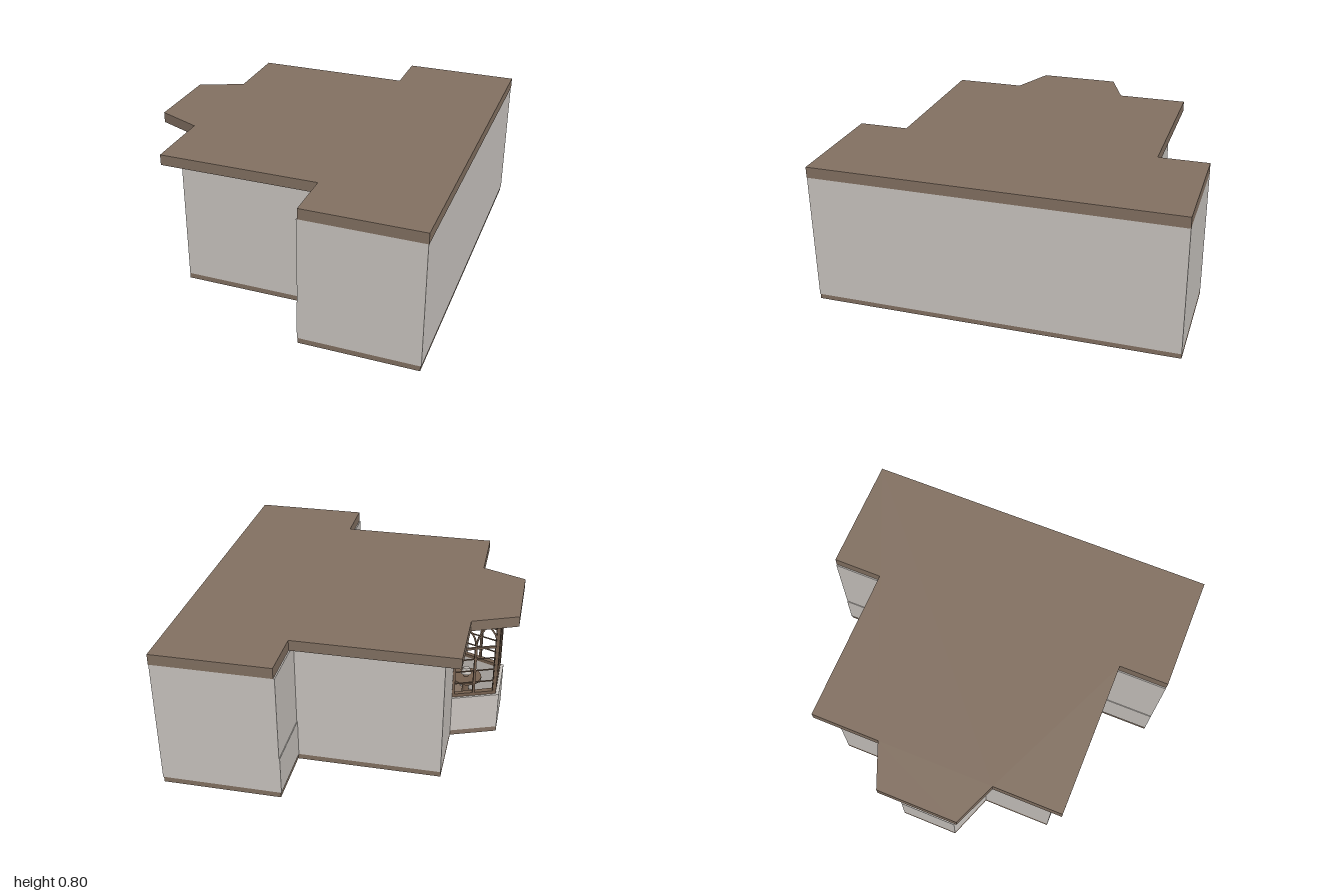
import * as THREE from 'three';

const mat = (name, color) => {
  const m = new THREE.MeshStandardMaterial({ color });
  m.name = name;
  return m;
};

export function createModel() {
  const model = new THREE.Group();
  model.name = 'house';
  const roofBrown = mat('roof brown', 0x837162);
  const plaster = mat('warm plaster', 0xcac5c0);
  const timber = mat('window timber', 0x75604f);
  const shade = mat('lamp shade', 0xbdb8b2);

  const add = (parent, name, geo, material, x = 0, y = 0, z = 0) => {
    const mesh = new THREE.Mesh(geo, material);
    mesh.name = name;
    mesh.position.set(x, y, z);
    parent.add(mesh);
    return mesh;
  };
  const box = (parent, name, material, w, h, d, x, y, z) =>
    add(parent, name, new THREE.BoxGeometry(w, h, d), material, x, y, z);

  // Plans are mirrored about z = 0: give the half with z > 0, in order
  const mirrored = half => [...half, ...half.map(([x, z]) => [x, -z]).reverse()];
  const slab = (name, points, y0, y1, material) => {
    const shape = new THREE.Shape(points.map(([x, z]) => new THREE.Vector2(x, z)));
    const geo = new THREE.ExtrudeGeometry(shape, { depth: y1 - y0, bevelEnabled: false });
    geo.rotateX(-Math.PI / 2);
    return add(model, name, geo, material, 0, y0, 0);
  };

  // Floor and roof slabs
  slab('floor', mirrored([[0.885, 1], [0.235, 1], [0.235, 0.655], [-0.56, 0.655],
    [-0.56, 0.26], [-0.815, 0.165]]), 0, 0.03, roofBrown);
  slab('roof', mirrored([[0.892, 1], [0.242, 1], [0.242, 0.722], [-0.648, 0.722],
    [-0.648, 0.33], [-0.896, 0.227]]), 0.735, 0.795, roofBrown);

  // Main walls, a hollow plan open towards the bay
  const outer = mirrored([[-0.56, 0.26], [-0.56, 0.655], [0.235, 0.655], [0.235, 1], [0.89, 1]]);
  const inner = mirrored([[-0.54, 0.26], [-0.54, 0.635], [0.255, 0.635], [0.255, 0.98], [0.87, 0.98]]);
  slab('walls', [...outer, ...inner.reverse()], 0.03, 0.735, plaster);

  // Shallow plinth on the returns beside the wing
  for (const s of [-1, 1])
    box(model, 'returnPlinth', plaster, 0.005, 0.22, 0.345, 0.2335, 0.14, s * 0.8275);

  // Bay: low wall, header and sill, each an open band
  const band = (name, half, t, y0, y1, material) => {
    const out = mirrored(half);
    const inn = mirrored(half.map(([x, z], i) => [i ? x + t : x, z - t])).reverse();
    slab(name, [...out, ...inn], y0, y1, material);
  };
  const bay = [[-0.56, 0.26], [-0.815, 0.165]];
  const frameLine = [[-0.56, 0.247], [-0.797, 0.158]];
  band('bayLowWall', bay, 0.035, 0.03, 0.25, plaster);
  band('bayHeader', bay, 0.035, 0.72, 0.735, plaster);
  band('baySill', frameLine, 0.025, 0.25, 0.27, timber);
  band('bayTopRail', frameLine, 0.02, 0.708, 0.72, timber);

  // Windows with glazing bars and crossing pointed arches
  const spring = 0.555, rise = 0.152;
  const tracery = (a, b, panels) => {
    const g = new THREE.Group();
    g.name = 'bayWindow';
    const dx = b[0] - a[0], dz = b[1] - a[1], len = Math.hypot(dx, dz), w = len / panels;
    g.position.set(a[0], 0, a[1]);
    g.rotation.y = Math.atan2(-dz, dx);
    for (let i = 0; i <= panels; i++) {
      const edge = i === 0 || i === panels;
      const top = edge ? 0.71 : spring;
      box(g, edge ? 'post' : 'mullion', timber, edge ? 0.02 : 0.013, top - 0.265,
        edge ? 0.02 : 0.013, i * w, (top + 0.265) / 2, 0);
      for (const s of [-1, 1]) {
        if (i + s < 0 || i + s > panels) continue;
        const pts = [];
        for (let k = 0; k <= 10; k++) {
          const t = (k / 10) * Math.PI / 2;
          pts.push(new THREE.Vector3(i * w + s * w * (1 - Math.cos(t)), spring + rise * Math.sin(t), 0));
        }
        const curve = new THREE.CatmullRomCurve3(pts);
        add(g, 'archBar', new THREE.TubeGeometry(curve, 16, 0.0055, 6), timber);
      }
    }
    for (const y of [0.335, 0.41, 0.485])
      box(g, 'glazingBar', timber, len, 0.006, 0.006, len / 2, y, 0);
    box(g, 'transom', timber, len, 0.012, 0.012, len / 2, spring, 0);
    model.add(g);
  };
  tracery([-0.56, 0.24], [-0.786, 0.153], 2);
  tracery([-0.786, 0.153], [-0.786, -0.153], 3);
  tracery([-0.786, -0.153], [-0.56, -0.24], 2);

  // Bay table with a lamp
  const table = new THREE.Group();
  table.name = 'bayTable';
  add(table, 'tableTop', new THREE.CylinderGeometry(0.09, 0.09, 0.012, 20), timber, -0.61, 0.244, 0);
  add(table, 'tableLeg', new THREE.CylinderGeometry(0.014, 0.03, 0.21, 12), timber, -0.61, 0.135, 0);
  add(table, 'lampStem', new THREE.CylinderGeometry(0.007, 0.015, 0.022, 10), timber, -0.61, 0.261, 0);
  add(table, 'lampShade', new THREE.CylinderGeometry(0.017, 0.032, 0.034, 16), shade, -0.61, 0.288, 0);
  model.add(table);

  // Room interior: panelling, shelves and a bench
  box(model, 'panelling', roofBrown, 0.008, 0.7, 1.94, 0.864, 0.382, 0);
  for (const y of [0.2, 0.34, 0.48, 0.62])
    box(model, 'shelf', timber, 0.08, 0.014, 0.9, 0.82, y, 0);
  for (const s of [-1, 1]) {
    box(model, 'shelfEnd', timber, 0.08, 0.62, 0.016, 0.82, 0.34, s * 0.45);
    box(model, 'bench', timber, 0.6, 0.1, 0.14, -0.15, 0.08, s * 0.54);
    box(model, 'benchCushion', shade, 0.58, 0.025, 0.13, -0.15, 0.1425, s * 0.54);
    box(model, 'wingPanelling', roofBrown, 0.78, 0.25, 0.008, -0.145, 0.155, s * 0.631);
  }
  return model;
}
